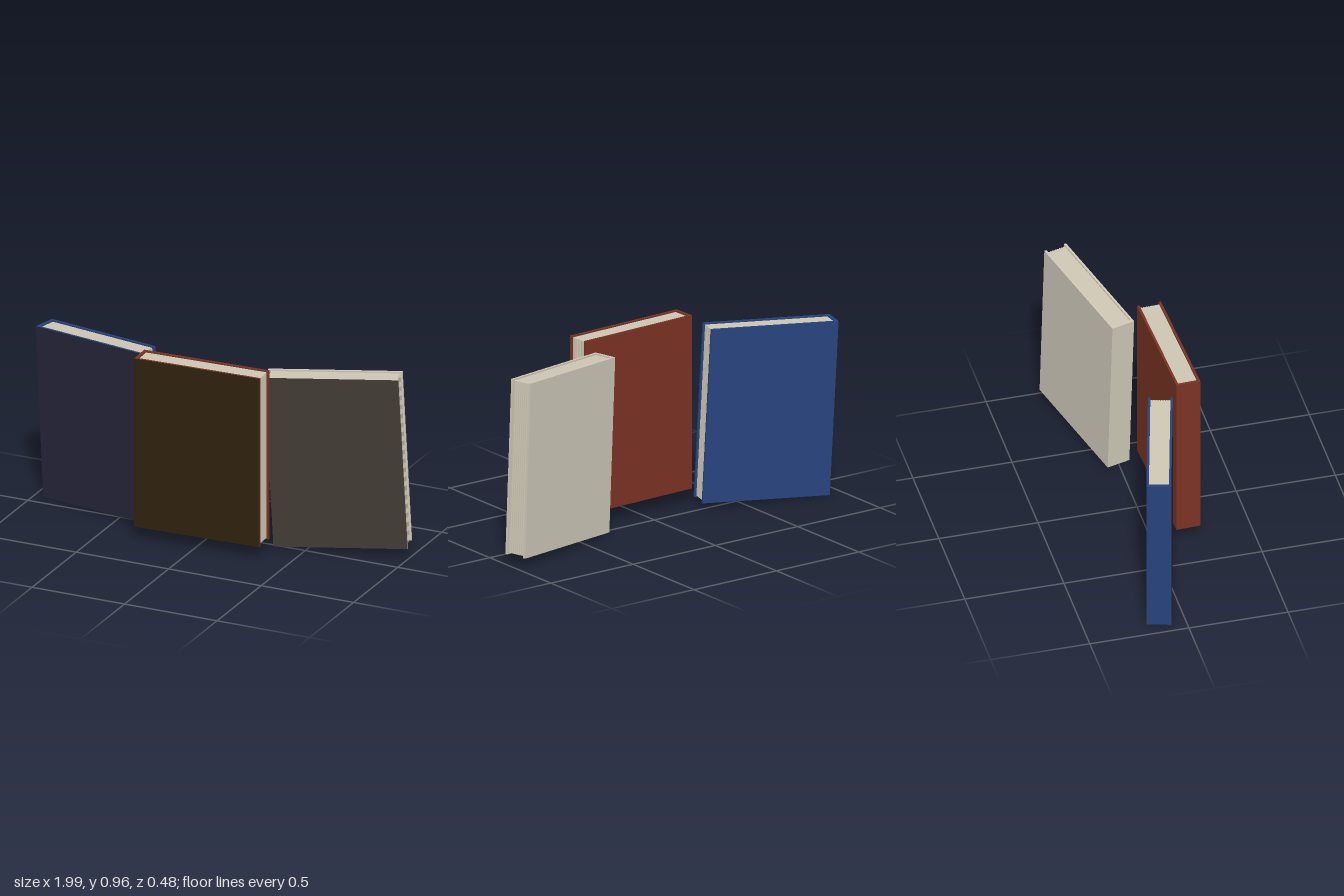
import * as THREE from 'three';

const W = 0.667, H = 0.888, T = 0.122; // book width, height, thickness
const COVER = 0.012, SPINE = 0.015, LIP = 0.008;

function material(name, color) {
  const m = new THREE.MeshStandardMaterial({ color });
  m.name = name;
  return m;
}

function box(name, w, h, d, x, z, mat) {
  const mesh = new THREE.Mesh(new THREE.BoxGeometry(w, h, d), mat);
  mesh.name = name;
  mesh.position.set(x, 0, z);
  return mesh;
}

// Page block: a slab whose fore edge is finely grooved
function pageGeometry() {
  const x0 = -W / 2 + SPINE - 0.002, x1 = W / 2 - 0.009;
  const half = T / 2 - COVER + 0.0005, grooves = 8, step = (2 * half) / grooves;
  const shape = new THREE.Shape();
  shape.moveTo(x0, -half);
  for (let i = 0; i < grooves; i++) {
    const y = -half + i * step;
    shape.lineTo(x1 - 0.005, y);
    shape.lineTo(x1, y + step * 0.25);
    shape.lineTo(x1, y + step * 0.75);
  }
  shape.lineTo(x1 - 0.005, half);
  shape.lineTo(x0, half);
  const h = H - 2 * LIP;
  const g = new THREE.ExtrudeGeometry(shape, { depth: h, bevelEnabled: false });
  g.translate(0, 0, -h / 2);
  g.rotateX(-Math.PI / 2);
  return g;
}

// One closed hardback with its spine on the -x side
function makeBook(name, cover, front, pages, geometry) {
  const book = new THREE.Group();
  book.name = name;
  const z = T / 2 - COVER / 2;
  // Only the outward face of the front board carries the printed colour
  const frontMats = [cover, cover, cover, cover, front, cover];
  book.add(box('frontCover', W, H, COVER, 0, z, frontMats));
  book.add(box('backCover', W, H, COVER, 0, -z, cover));
  book.add(box('spine', SPINE, H, T - 2 * COVER, -W / 2 + SPINE / 2, 0, cover));
  const block = new THREE.Mesh(geometry, pages);
  block.name = 'pages';
  book.add(block);
  return book;
}

export function createModel() {
  const model = new THREE.Group();
  model.name = 'books';
  const paper = material('paper', 0xcdc6b3);
  const geometry = pageGeometry();
  // name, cover colour, front colour, position, turn about y, lean (degrees)
  const books = [
    ['blueBook', 0x27437f, 0x242438, [-0.639, 0.465, -0.053], -15.3, 3],
    ['redBook', 0x7a3323, 0x2f220f, [0.02, 0.519, 0.165], 2.1, 0],
    ['creamBook', 0xcec8b8, 0x423b35, [0.636, 0.48, -0.087], 15.3, 3],
  ];
  for (const [name, cover, front, position, turn, lean] of books) {
    const book = makeBook(name, material(name + ' cover', cover),
      material(name + ' front', front), paper, geometry);
    book.position.set(...position);
    book.rotation.set(0, THREE.MathUtils.degToRad(turn), THREE.MathUtils.degToRad(lean), 'YXZ');
    model.add(book);
  }
  return model;
}
